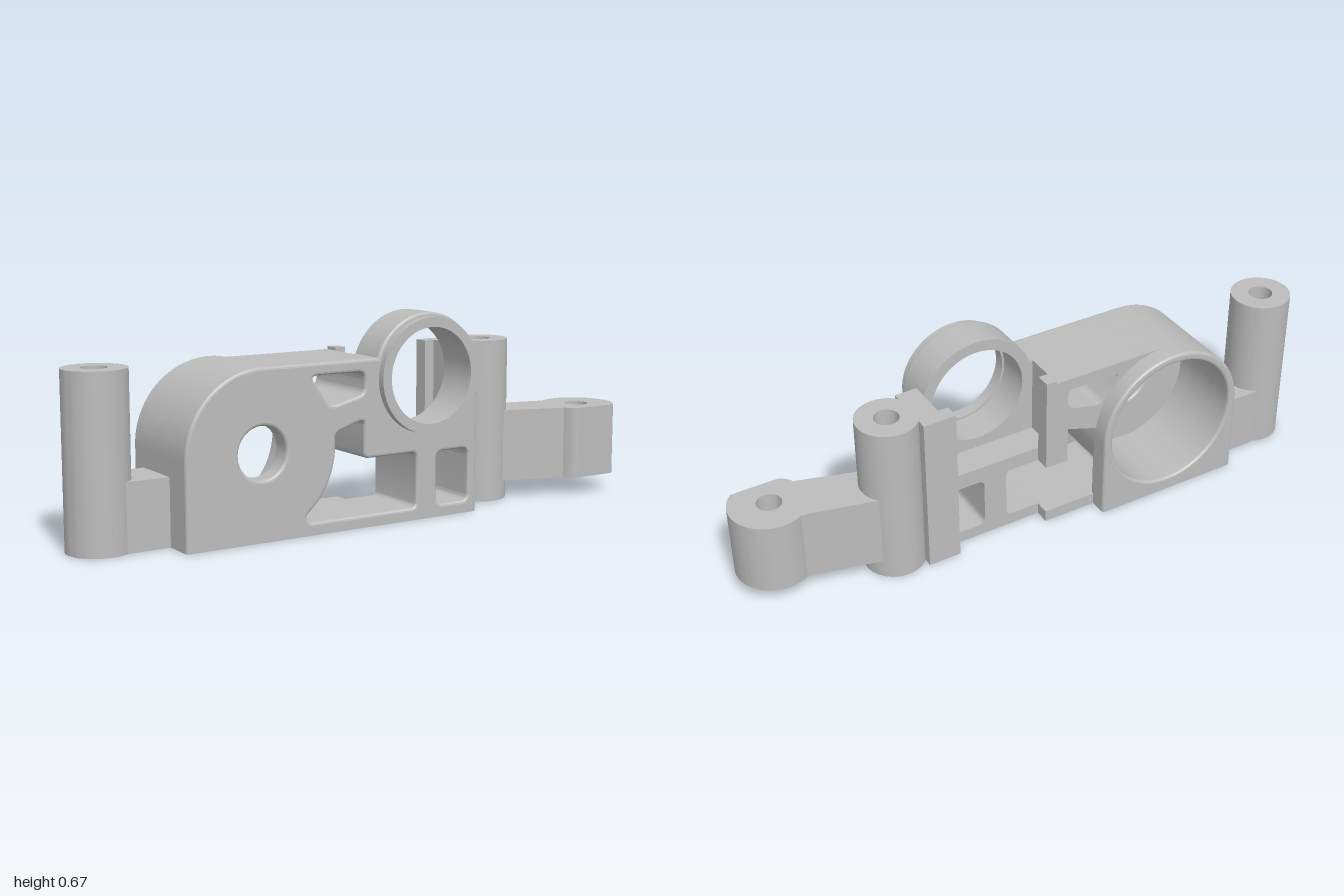
import * as THREE from 'three';
import { toCreasedNormals } from 'three/addons/utils/BufferGeometryUtils.js';

const metal = new THREE.MeshStandardMaterial({ color: 0xbcbcbc });
metal.name = 'plain grey';

const B = 0.01; // edge rounding
const HX = -0.445, HY = 0.275, HR = 0.26; // motor housing centre and radius
const RX = 0.16, RY = 0.468, RR = 0.2; // ring centre and radius

const circle = (x, y, r) => new THREE.Path().absarc(x, y, r, 0, Math.PI * 2, false);

// closed counter-clockwise path with softened corners
function softPath(pts, r) {
  const path = new THREE.Path();
  const v = pts.map(([x, y]) => new THREE.Vector2(x, y));
  v.forEach((p, i) => {
    const a = v[(i + v.length - 1) % v.length], b = v[(i + 1) % v.length];
    const toward = (q) => p.clone().lerp(q, Math.min(r / p.distanceTo(q), 0.45));
    const s = toward(a), e = toward(b);
    if (i === 0) path.moveTo(s.x, s.y); else path.lineTo(s.x, s.y);
    path.quadraticCurveTo(p.x, p.y, e.x, e.y);
  });
  path.closePath();
  return path;
}

function addMesh(group, name, geometry) {
  const mesh = new THREE.Mesh(toCreasedNormals(geometry, 0.25), metal);
  mesh.name = name;
  group.add(mesh);
}

// slab between two z depths; rounded edges stay square along the ground
function slab(group, name, shape, holes, z0, z1, bevel = 0) {
  shape.holes.push(...holes);
  const g = new THREE.ExtrudeGeometry(shape, {
    depth: z1 - z0 - 2 * bevel, curveSegments: 32, bevelEnabled: bevel > 0,
    bevelSize: bevel, bevelThickness: bevel, bevelOffset: -bevel, bevelSegments: 3,
  });
  g.translate(0, 0, z0 + bevel);
  const p = g.attributes.position;
  for (let i = 0; i < p.count; i++) if (p.getY(i) < 0) p.setY(i, 0);
  addMesh(group, name, g);
}

// slab drawn in plan (x, -z) between two heights
function upright(group, name, shape, holes, y0, y1) {
  shape.holes.push(...holes);
  const g = new THREE.ExtrudeGeometry(shape, { depth: y1 - y0, bevelEnabled: false, curveSegments: 32 });
  g.rotateX(-Math.PI / 2).translate(0, y0, 0);
  addMesh(group, name, g);
}

function box(group, name, x0, x1, y0, y1, z0, z1) {
  const g = new THREE.BoxGeometry(x1 - x0, y1 - y0, z1 - z0);
  g.translate((x0 + x1) / 2, (y0 + y1) / 2, (z0 + z1) / 2);
  addMesh(group, name, g);
}

// left edge and arched shoulder shared by all body layers
function shoulder(base) {
  const s = new THREE.Shape();
  s.moveTo(HX - HR, base);
  s.lineTo(HX - HR, HY);
  s.absarc(HX, HY, HR, Math.PI, Math.PI / 2, true);
  return s;
}

// front outline with the ring merged into its top
function frontOutline(base) {
  const s = shoulder(base);
  const a = Math.PI - Math.asin((HY + HR - RY) / RR);
  s.lineTo(RX + RR * Math.cos(a), HY + HR);
  s.absarc(RX, RY, RR, a, 0, true);
  s.lineTo(RX + RR, base);
  s.closePath();
  return s;
}

export function createModel() {
  const group = new THREE.Group();
  group.name = 'motorBracket';

  // stepped window outline, from its top right corner round to the bottom left
  const stepped = [[-0.08, 0.22], [-0.08, 0.345], [-0.187, 0.31]];
  for (let i = 0; i <= 12; i++) {
    const a = -0.94 * (i / 12);
    stepped.push([HX + HR * Math.cos(a), HY + HR * Math.sin(a)]);
  }
  stepped.push([-0.285, 0.04]);
  const windows = () => [
    softPath([[0.12, 0.04], [0.12, 0.22], ...stepped], 0.02),
    softPath([[0.325, 0.04], [0.325, 0.215], [0.2, 0.215], [0.2, 0.04]], 0.025),
  ];
  const topWindow = () => softPath([[-0.205, 0.395], [-0.078, 0.425], [-0.078, 0.495], [-0.275, 0.495]], 0.025);
  const bore = () => circle(HX, HY, 0.23);

  // body layers from front to back
  slab(group, 'frontPlate', frontOutline(-B),
    [...windows(), topWindow(), circle(HX, HY, 0.083), circle(RX, RY, 0.163)], 0.09, 0.16, B);
  slab(group, 'ringLayer', frontOutline(0),
    [...windows(), topWindow(), bore(), circle(RX, RY, 0.163)], 0.03, 0.12);

  const middle = shoulder(0);
  [[-0.04, HY + HR], [-0.04, 0.27], [0.36, 0.27], [0.36, 0]].forEach(([x, y]) => middle.lineTo(x, y));
  middle.closePath();
  slab(group, 'slotLayer', middle, [...windows(), topWindow(), bore()], -0.075, 0.03);

  const rear = shoulder(0);
  [[0, HY + HR], [0, 0.22], ...stepped, [0, 0.04], [0, 0]].forEach(([x, y]) => rear.lineTo(x, y));
  rear.closePath();
  slab(group, 'rearLayer', rear, [topWindow(), bore()], -0.125, -0.075);

  // motor housing standing out at the back
  const housing = shoulder(-B);
  housing.absarc(HX, HY, HR, Math.PI / 2, 0, true);
  housing.lineTo(HX + HR, -B);
  housing.closePath();
  slab(group, 'motorHousing', housing, [bore()], -0.185, -0.11, B);

  // raised lip of the ring
  const lip = new THREE.Shape().absarc(RX, RY, 0.187, 0, Math.PI * 2, false);
  slab(group, 'ringLip', lip, [circle(RX, RY, 0.155)], 0.145, 0.185);

  // slot rails
  box(group, 'slotWall', 0.355, 0.43, 0, 0.545, -0.125, 0.065);
  box(group, 'rightRail', 0.32, 0.36, 0, 0.545, -0.125, -0.075);
  box(group, 'leftRail', -0.037, 0, 0.5, 0.545, -0.125, -0.075);

  // screw posts and the web to the outer one
  for (const [name, x] of [['outerPost', -0.9], ['innerPost', 0.506]]) {
    const post = new THREE.Shape().absarc(x, 0.029, 0.1, 0, Math.PI * 2, false);
    upright(group, name, post, [circle(x, 0.029, 0.04)], 0, 0.548);
  }
  box(group, 'postWeb', -0.85, -0.7, 0, 0.215, -0.12, 0.055);

  // side arm ending in a drilled boss
  const arm = new THREE.Shape();
  arm.moveTo(0.548, 0.105);
  arm.lineTo(0.79, 0.045);
  arm.absarc(0.875, -0.065, 0.125, 2.1, -0.863, true);
  arm.lineTo(0.8, -0.16);
  arm.quadraticCurveTo(0.78, -0.155, 0.765, -0.125);
  arm.lineTo(0.548, -0.058);
  arm.closePath();
  upright(group, 'sideArm', arm, [circle(0.87, -0.065, 0.04)], 0.062, 0.305);

  return group;
}
